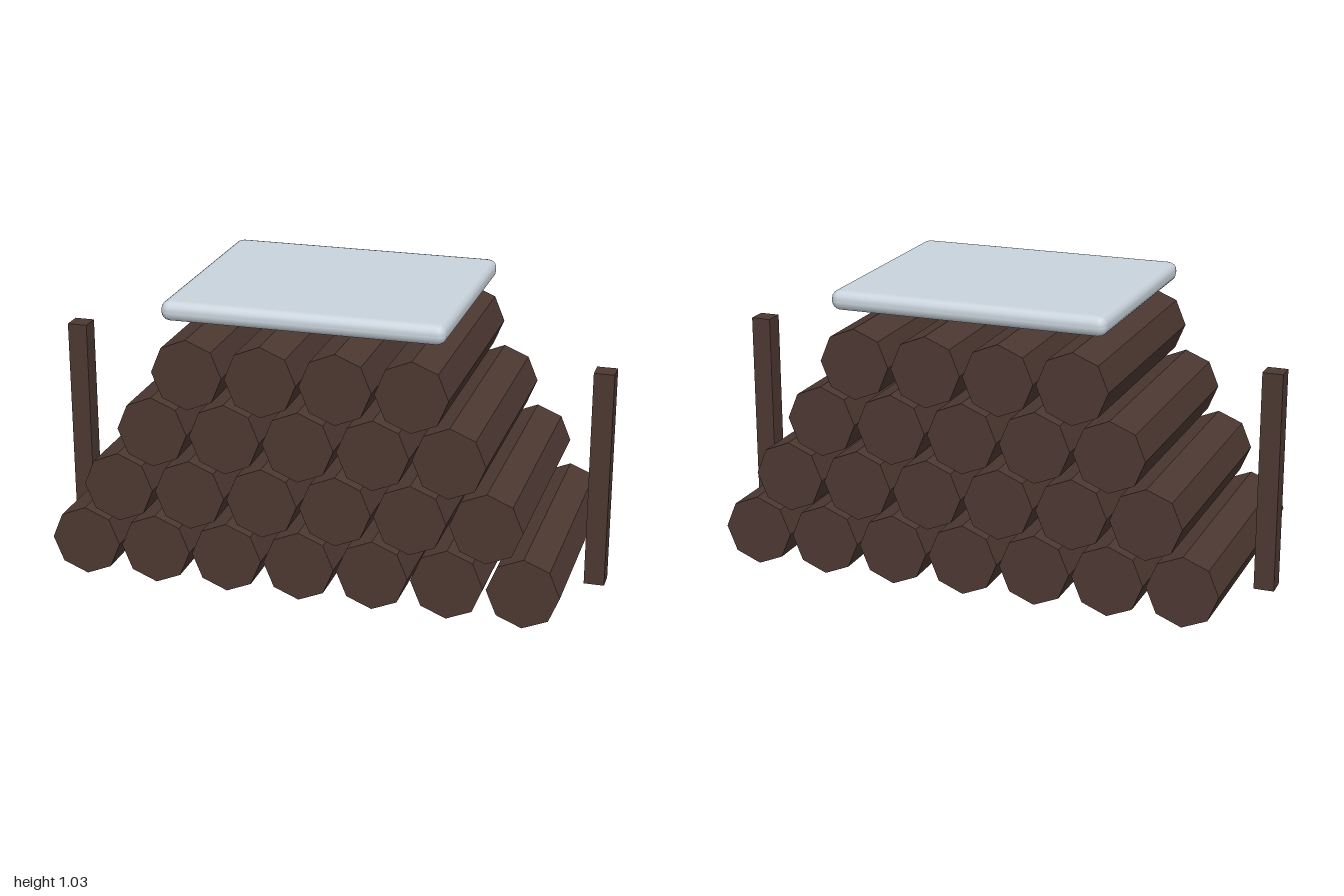
import * as THREE from 'three';
import { RoundedBoxGeometry } from 'three/addons/geometries/RoundedBoxGeometry.js';

export function createModel() {
  const model = new THREE.Group();
  model.name = 'logPile';

  const wood = new THREE.MeshStandardMaterial({ color: 0x4c3831, flatShading: true });
  wood.name = 'dark wood';
  const snow = new THREE.MeshStandardMaterial({ color: 0xc9d3dc });
  snow.name = 'pale snow';

  function add(name, geometry, material, x, y, z = 0) {
    const mesh = new THREE.Mesh(geometry, material);
    mesh.name = name;
    mesh.position.set(x, y, z);
    model.add(mesh);
    return mesh;
  }

  // Octagonal logs in four staggered rows of 7, 6, 5 and 4
  const log = new THREE.CylinderGeometry(0.126, 0.126, 0.89, 8);
  log.rotateX(Math.PI / 2);
  const spacing = 0.262;
  for (let row = 0; row < 4; row++) {
    const count = 7 - row;
    for (let i = 0; i < count; i++) {
      add('log', log, wood, (i - (count - 1) / 2) * spacing, 0.127 + row * 0.22);
    }
  }

  // Upright stakes on both sides
  const stake = new THREE.BoxGeometry(0.072, 0.787, 0.072);
  for (const side of [-1, 1]) {
    add(side > 0 ? 'leftStake' : 'rightStake', stake, wood, side * 0.964, 0.3935);
  }

  // Soft-edged snow slab above the pile
  add('snowSlab', new RoundedBoxGeometry(0.99, 0.071, 0.836, 2, 0.032), snow, 0, 0.9955);

  return model;
}
